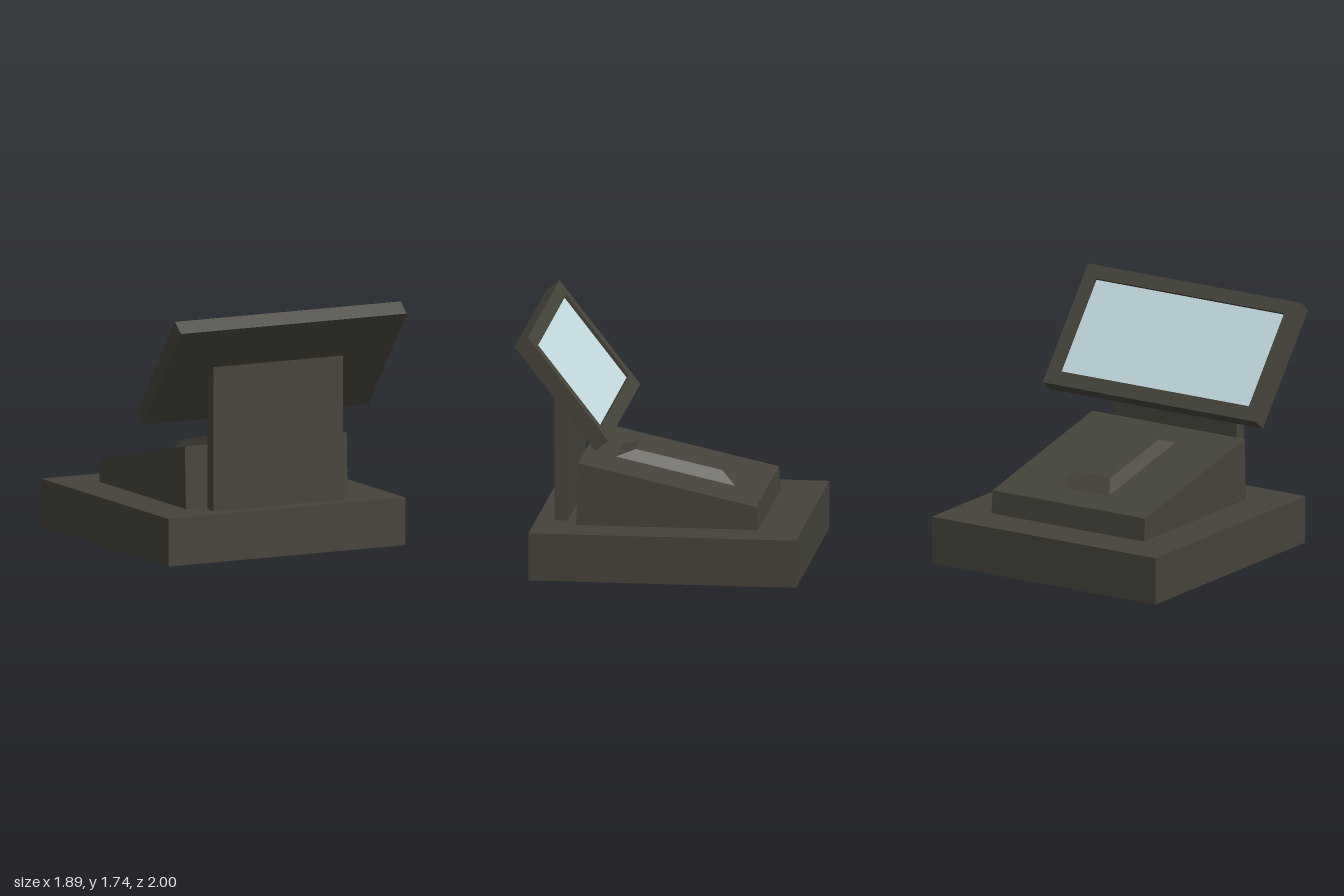
import * as THREE from 'three';

const casing = new THREE.MeshStandardMaterial({ color: 0x45433a, side: THREE.DoubleSide });
casing.name = 'dark olive casing';
const glass = new THREE.MeshStandardMaterial({ color: 0xc4dbe0, side: THREE.DoubleSide });
glass.name = 'pale blue glass';

// Four-cornered section: front edge (z, y), back edge (z, y), half width
const section = (w, [zf, yf], [zb, yb]) =>
  [[-w, yf, zf], [w, yf, zf], [w, yb, zb], [-w, yb, zb]];

// Flat-sided walls between two sections, with an optional top face
function loft(lower, upper, cap) {
  const pos = [];
  const quad = (a, b, c, d) => pos.push(...a, ...b, ...c, ...a, ...c, ...d);
  for (let i = 0; i < 4; i++) {
    const j = (i + 1) % 4;
    quad(lower[i], lower[j], upper[j], upper[i]);
  }
  if (cap) quad(...upper);
  const g = new THREE.BufferGeometry();
  g.setAttribute('position', new THREE.Float32BufferAttribute(pos, 3));
  g.computeVertexNormals();
  return g;
}

function rect(Type, x, y0, y1) {
  const s = new Type();
  s.moveTo(-x, y0).lineTo(x, y0).lineTo(x, y1).lineTo(-x, y1).closePath();
  return s;
}

function add(parent, name, geometry, material = casing) {
  const m = new THREE.Mesh(geometry, material);
  m.name = name;
  parent.add(m);
  return m;
}

export function createModel() {
  const model = new THREE.Group();
  model.name = 'counterTerminal';
  const top = 0.34;

  // Hollow base, open underneath, with a slot under the stand
  add(model, 'baseWalls', loft(
    section(0.945, [0.895, 0], [-1, 0]),
    section(0.945, [0.895, top], [-1, top])));
  const deck = rect(THREE.Shape, 0.945, -0.895, 1);
  deck.holes.push(rect(THREE.Path, 0.515, -0.765, -0.67));
  add(model, 'baseTop', new THREE.ShapeGeometry(deck).rotateX(-Math.PI / 2).translate(0, top, 0));

  // Hollow stand, cut to the slope of the display
  add(model, 'stand', loft(
    section(0.515, [0.765, top], [0.67, top]),
    section(0.515, [0.765, 1.368], [0.67, 1.246])));

  // Sloping console and its raised pad
  add(model, 'console', loft(
    section(0.645, [0.595, top], [-0.695, top]),
    section(0.645, [0.58, 0.785], [-0.68, 0.505]), true));
  add(model, 'raisedPad', loft(
    section(0.2, [0.37, 0.738], [-0.475, 0.55]),
    section(0.148, [0.235, 0.785], [-0.378, 0.65]), true));

  // Tilted display: frame, back panel and recessed screen
  const display = new THREE.Group();
  display.name = 'display';
  const up = new THREE.Vector3(0, 0.788, 0.615).normalize();
  const out = new THREE.Vector3(0, up.z, -up.y);
  const side = new THREE.Vector3().crossVectors(up, out);
  display.quaternion.setFromRotationMatrix(new THREE.Matrix4().makeBasis(side, up, out));
  display.position.set(0, 1.341, 0.667);
  const h = 0.465, d = 0.118;
  const frame = rect(THREE.Shape, 0.9, -h, h);
  frame.holes.push(rect(THREE.Path, 0.8, -h + 0.105, h - 0.1));
  add(display, 'displayFrame', new THREE.ExtrudeGeometry(frame, { depth: d, bevelEnabled: false }).translate(0, 0, -d / 2));
  add(display, 'displayBack', new THREE.PlaneGeometry(1.6, 2 * h - 0.205).rotateY(Math.PI).translate(0, 0.0025, -d / 2));
  add(display, 'screen', new THREE.PlaneGeometry(1.6, 2 * h - 0.205).translate(0, 0.0025, d / 2 - 0.025), glass);
  model.add(display);

  return model;
}
